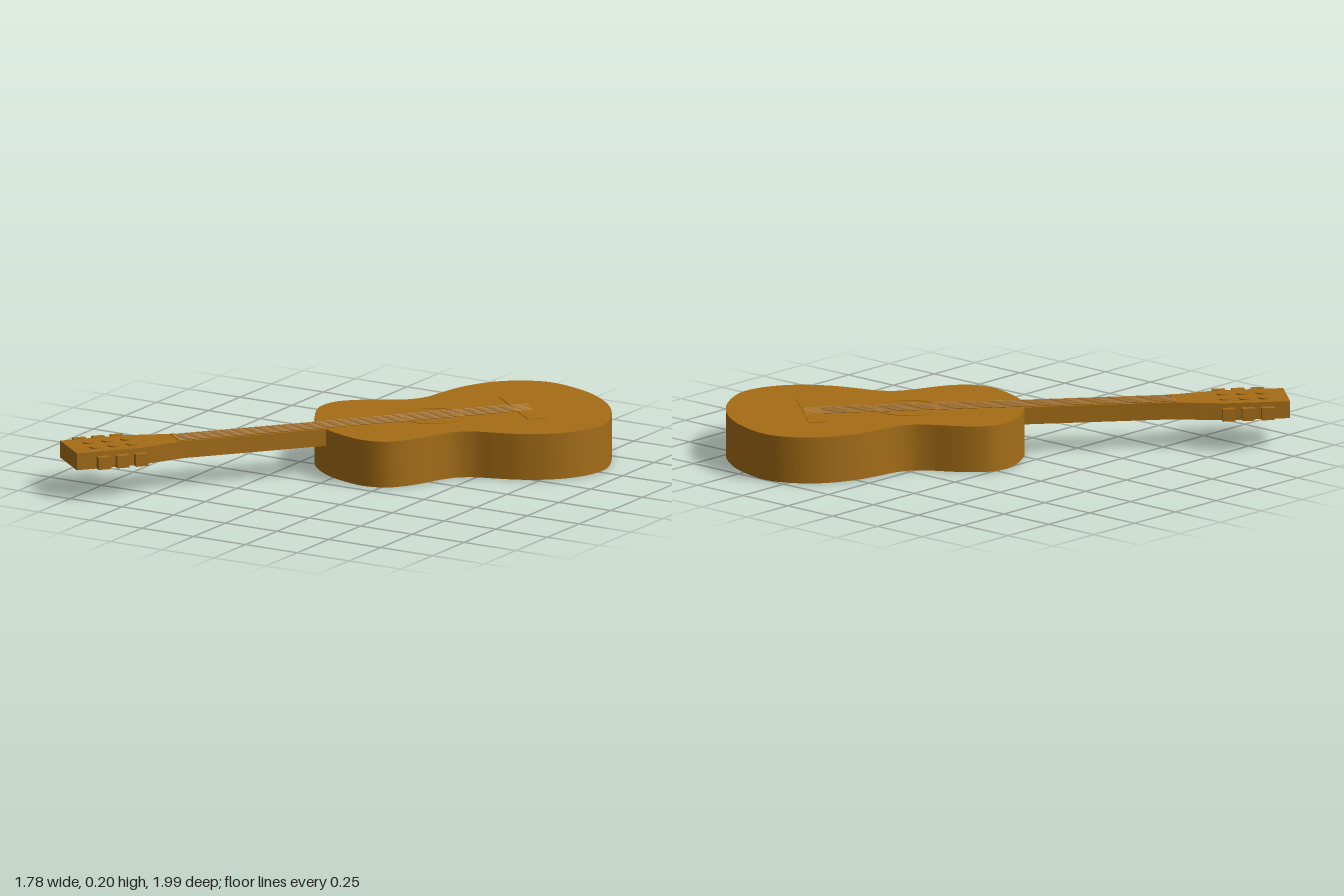
import * as THREE from 'three';
import { toCreasedNormals } from 'three/addons/utils/BufferGeometryUtils.js';

const wood = new THREE.MeshStandardMaterial({ color: 0xa56d16 });
const TOP = 0.195; // height of the soundboard and fretboard

// Local frame: x runs across the instrument, -z runs from head to body end.
export function createModel() {
  const guitar = new THREE.Group();
  guitar.name = 'guitar';

  const add = (name, geometry, x = 0, y = 0, z = 0) => {
    const mesh = new THREE.Mesh(geometry, wood);
    mesh.name = name;
    mesh.position.set(x, y, z);
    guitar.add(mesh);
    return mesh;
  };

  // Flat outline (across, along) raised to a slab standing on y = 0
  const slab = (shape, depth) => {
    const g = new THREE.ExtrudeGeometry(shape, { depth, bevelEnabled: false, curveSegments: 32 });
    g.rotateX(-Math.PI / 2);
    return toCreasedNormals(g, 0.6);
  };
  const mirrored = (half) => [...half, ...half.slice().reverse().map(([x, y]) => [-x, y])];

  // Body: one half of the outline, mirrored into a closed smooth curve
  const half = [
    [0.07, -0.125], [0.16, -0.1], [0.28, -0.04], [0.336, 0.04], [0.341, 0.12],
    [0.323, 0.2], [0.289, 0.3], [0.279, 0.37], [0.297, 0.44], [0.346, 0.52],
    [0.4, 0.62], [0.434, 0.767], [0.41, 0.9], [0.345, 0.995], [0.19, 1.073], [0.06, 1.1],
  ];
  const curve = new THREE.CatmullRomCurve3(
    mirrored(half).map(([x, y]) => new THREE.Vector3(x, y, 0)), true);
  const outline = curve.getPoints(160).slice(0, -1).map((p) => new THREE.Vector2(p.x, p.y));
  add('body', slab(new THREE.Shape(outline), TOP));

  // Neck flaring into the head
  const neckHalf = [[0.063, -0.09], [0.063, -0.742], [0.108, -0.952], [0.108, -1.224]];
  const neckShape = new THREE.Shape(mirrored(neckHalf).map(([x, y]) => new THREE.Vector2(x, y)));
  add('neckAndHead', slab(neckShape, TOP - 0.123), 0, 0.123);

  // Rosette ring around the sound hole
  const ring = new THREE.Shape().absarc(0, 0, 0.135, 0, Math.PI * 2);
  ring.holes.push(new THREE.Path().absarc(0, 0, 0.118, 0, Math.PI * 2, true));
  add('rosette', slab(ring, 0.003), 0, TOP - 0.001, -0.354);

  // Bridge and nut
  add('bridge', new THREE.BoxGeometry(0.38, 0.006, 0.08), 0, TOP, -0.75);
  add('nut', new THREE.BoxGeometry(0.124, 0.006, 0.014), 0, TOP, 0.755);

  // Six strings from nut to bridge
  for (let i = 0; i < 6; i++) {
    const string = new THREE.CylinderGeometry(0.003, 0.003, 1.54, 8).rotateX(Math.PI / 2);
    add('string', string, (i - 2.5) * 0.0185, TOP + 0.002, -0.01);
  }

  // Tuning machines, three on each side of the head
  for (const side of [-1, 1]) {
    for (let i = 0; i < 3; i++) {
      const z = 0.962 + i * 0.081;
      add('tuningPost', new THREE.CylinderGeometry(0.024, 0.024, 0.02, 24), side * 0.041, 0.19, z);
      add('tuningShaft', new THREE.BoxGeometry(0.05, 0.02, 0.018), side * 0.127, 0.16, z);
      add('tuningKnob', new THREE.BoxGeometry(0.027, 0.052, 0.053), side * 0.159, 0.16, z);
    }
  }

  // Lay the instrument diagonally
  guitar.rotation.y = THREE.MathUtils.degToRad(-40);
  guitar.position.set(-0.018, 0, -0.015);
  const model = new THREE.Group();
  model.add(guitar);
  return model;
}
